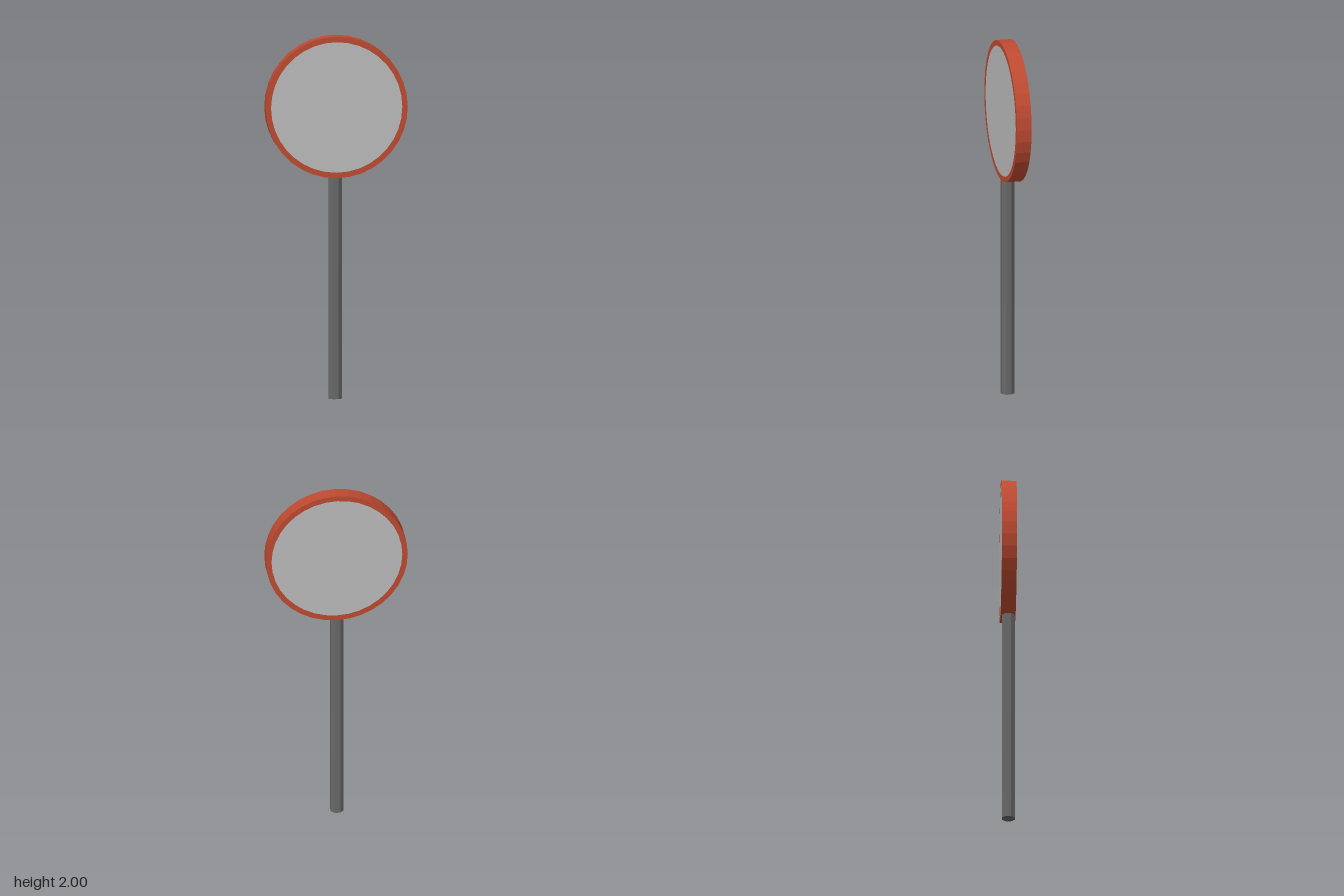
import * as THREE from 'three';

const CENTER_Y = 1.61, OUTER = 0.39, INNER = 0.36, HALF = 0.041, SIDES = 36;

function part(name, geometry, color) {
  const mesh = new THREE.Mesh(geometry, new THREE.MeshStandardMaterial({ color, flatShading: true }));
  mesh.name = name;
  return mesh;
}

export function createModel() {
  const group = new THREE.Group();
  group.name = 'roundPaddle';

  // Faceted rim: a rectangular section turned around the disc axis
  const section = [[INNER, -HALF], [OUTER, -HALF], [OUTER, HALF], [INNER, HALF], [INNER, -HALF]]
    .map(([r, z]) => new THREE.Vector2(r, z));
  const rim = part('rim', new THREE.LatheGeometry(section, SIDES).rotateX(Math.PI / 2), 0xbe4a31);
  rim.position.y = CENTER_Y;

  // Disc filling the rim, flush on both sides
  const disc = part('disc',
    new THREE.CylinderGeometry(INNER, INNER, HALF * 2, SIDES).rotateX(Math.PI / 2), 0xbbbbbb);
  disc.position.y = CENTER_Y;

  // Octagonal handle running up into the rim
  const top = CENTER_Y - OUTER + 0.015;
  const handle = part('handle',
    new THREE.CylinderGeometry(0.038, 0.038, top, 8).rotateY(Math.PI / 8), 0x686868);
  handle.position.set(-0.005, top / 2, 0.002);

  group.add(rim, disc, handle);
  return group;
}
